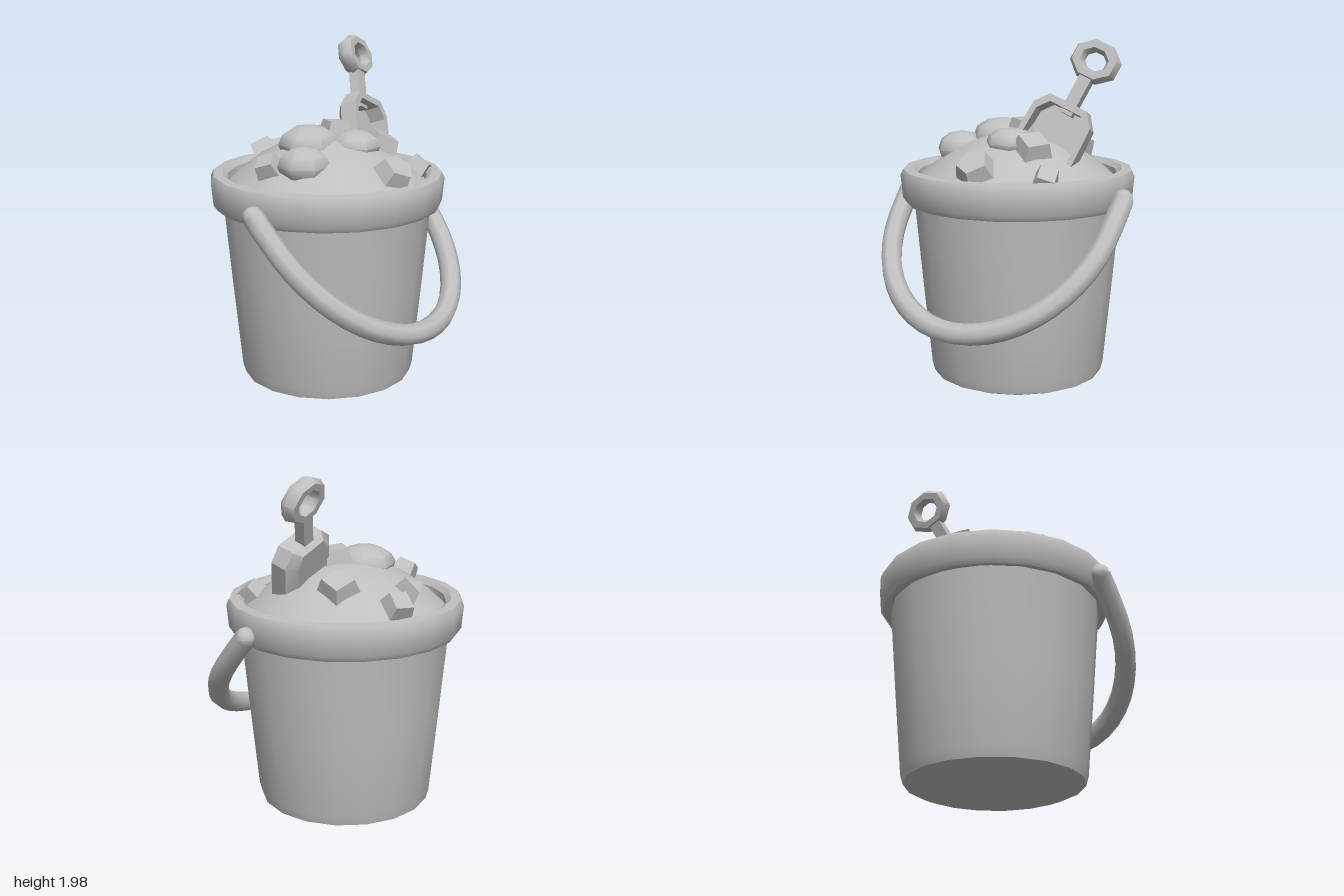
import * as THREE from 'three';
import { toCreasedNormals } from 'three/addons/utils/BufferGeometryUtils.js';

const grey = new THREE.MeshStandardMaterial({ color: 0xbfbfbf });
grey.name = 'grey';

const CX = -0.045; // bucket axis
const UP = new THREE.Vector3(0, 1, 0);

function part(name, geo, crease = 0.6) {
  const m = new THREE.Mesh(toCreasedNormals(geo, crease), grey);
  m.name = name;
  return m;
}

function lathe(name, pts, sides, crease) {
  const geo = new THREE.LatheGeometry(pts.map(([r, y]) => new THREE.Vector2(r, y)), sides);
  const m = part(name, geo, crease);
  m.position.x = CX;
  return m;
}

// height of the sand surface
const sandY = (x, z) => 1.46 - 0.8 * ((x - CX) ** 2 + z * z);

function makeSand() {
  const g = new THREE.Group();
  g.name = 'sand';
  const profile = [0.6, 0.52, 0.4, 0.28, 0.15, 0].map((r) => [r, 1.46 - 0.8 * r * r]);
  g.add(lathe('sandMound', profile, 16, 1));

  // soft lumps: x, z, radius, height
  for (const [x, z, r, h] of [[-0.08, 0.12, 0.18, 0.07], [0.05, 0.32, 0.15, 0.07], [0.12, -0.05, 0.15, 0.05]]) {
    const lump = part('sandLump', new THREE.SphereGeometry(r, 7, 6), 0.9);
    lump.scale.y = (h + 0.04) / r;
    lump.position.set(x, sandY(x, z) - 0.03, z);
    g.add(lump);
  }

  // angular clods: x, z, radius, turn, sides
  const clods = [
    [-0.27, -0.27, 0.13, 0.7, 4], [0.18, -0.22, 0.13, 0.2, 4], [0.33, -0.38, 0.1, 1.1, 4],
    [0.43, 0, 0.13, 0.4, 5], [-0.53, -0.08, 0.11, 0.5, 4], [-0.47, 0.09, 0.1, 0.1, 3],
    [-0.11, 0.43, 0.1, 1.2, 4], [-0.03, -0.06, 0.12, 0.3, 4],
  ];
  for (const [x, z, r, turn, sides] of clods) {
    const geo = new THREE.CylinderGeometry(r * 0.7, r, 0.12, sides);
    geo.rotateY(turn);
    const clod = part('sandClod', geo, 0.3);
    const normal = new THREE.Vector3(1.6 * (x - CX), 1, 1.6 * z).normalize();
    clod.quaternion.setFromUnitVectors(UP, normal);
    clod.position.set(x, sandY(x, z) + 0.015, z);
    g.add(clod);
  }
  return g;
}

// carrying handle hanging down on the left side
function makeHandle() {
  const g = new THREE.Group();
  g.name = 'handle';
  const at = (y, z) => new THREE.Vector3((1.13 - y) * 0.96, y, z);
  const pts = [at(1.12, 0.695)];
  for (let i = 0; i <= 12; i++) {
    const a = (i / 12) * Math.PI;
    pts.push(at(1.0 - 0.57 * Math.sin(a), 0.69 * Math.cos(a)));
  }
  pts.push(at(1.12, -0.695));
  g.add(part('handleBow', new THREE.TubeGeometry(new THREE.CatmullRomCurve3(pts), 28, 0.062, 8), 0.9));
  for (const p of [pts[0], pts[pts.length - 1]]) {
    const end = part('handleEnd', new THREE.SphereGeometry(0.06, 8, 6), 0.9);
    end.position.copy(p);
    g.add(end);
  }
  return g;
}

// toy shovel, its hollow side along local +z, its shaft along local +y
function makeShovel() {
  const g = new THREE.Group();
  g.name = 'shovel';
  const outline = (s) => [[-0.12, 0.03], [-0.185, -0.05], [-0.2, -0.45], [0.2, -0.45], [0.185, -0.05], [0.12, 0.03]]
    .map(([x, y]) => new THREE.Vector2(x * s, (y + 0.2) * s - 0.2));

  const wallShape = new THREE.Shape(outline(1));
  wallShape.holes.push(new THREE.Path(outline(0.83)));
  const walls = new THREE.ExtrudeGeometry(wallShape, { depth: 0.1, bevelEnabled: false });
  walls.translate(0, 0, -0.02);
  g.add(part('bladeWalls', walls));

  // floor narrows towards the back
  const floor = new THREE.ExtrudeGeometry(new THREE.Shape(outline(1)), { depth: 0.045, bevelEnabled: false });
  const p = floor.attributes.position;
  for (let i = 0; i < p.count; i++) {
    if (p.getZ(i) < 0.01) p.setXY(i, p.getX(i) * 0.7, (p.getY(i) + 0.2) * 0.88 - 0.2);
  }
  floor.translate(0, 0, -0.065);
  g.add(part('bladeFloor', floor));

  const shaft = part('shaft', new THREE.BoxGeometry(0.075, 0.26, 0.065));
  shaft.position.y = 0.1;
  g.add(shaft);

  const ring = new THREE.TorusGeometry(0.108, 0.045, 6, 8);
  ring.rotateZ(Math.PI / 8);
  ring.scale(1.02, 0.84, 1.15);
  const grip = part('grip', ring, 0.9);
  grip.position.y = 0.31;
  g.add(grip);

  // leaning pose
  const up = new THREE.Vector3(-0.42, 1, -0.4).normalize();
  const side = new THREE.Vector3(-0.2, 0, -1);
  side.addScaledVector(up, -side.dot(up)).normalize();
  const face = new THREE.Vector3().crossVectors(side, up);
  g.quaternion.setFromRotationMatrix(new THREE.Matrix4().makeBasis(side, up, face));
  g.position.set(-0.06, 1.59, -0.325);
  return g;
}

export function createModel() {
  const model = new THREE.Group();
  model.name = 'sandBucket';
  model.add(lathe('bucketBody', [
    [0, 0.005], [0.44, 0.005], [0.5, 0.03], [0.515, 0.085], [0.56, 0.56], [0.607, 1.08],
  ], 18, 0.8));
  model.add(lathe('bucketRim', [
    [0.59, 1.065], [0.65, 1.05], [0.67, 1.08], [0.682, 1.21], [0.665, 1.245],
    [0.61, 1.25], [0.58, 1.225], [0.57, 1.15],
  ], 20, 0.7));
  model.add(makeSand(), makeHandle(), makeShovel());
  return model;
}
